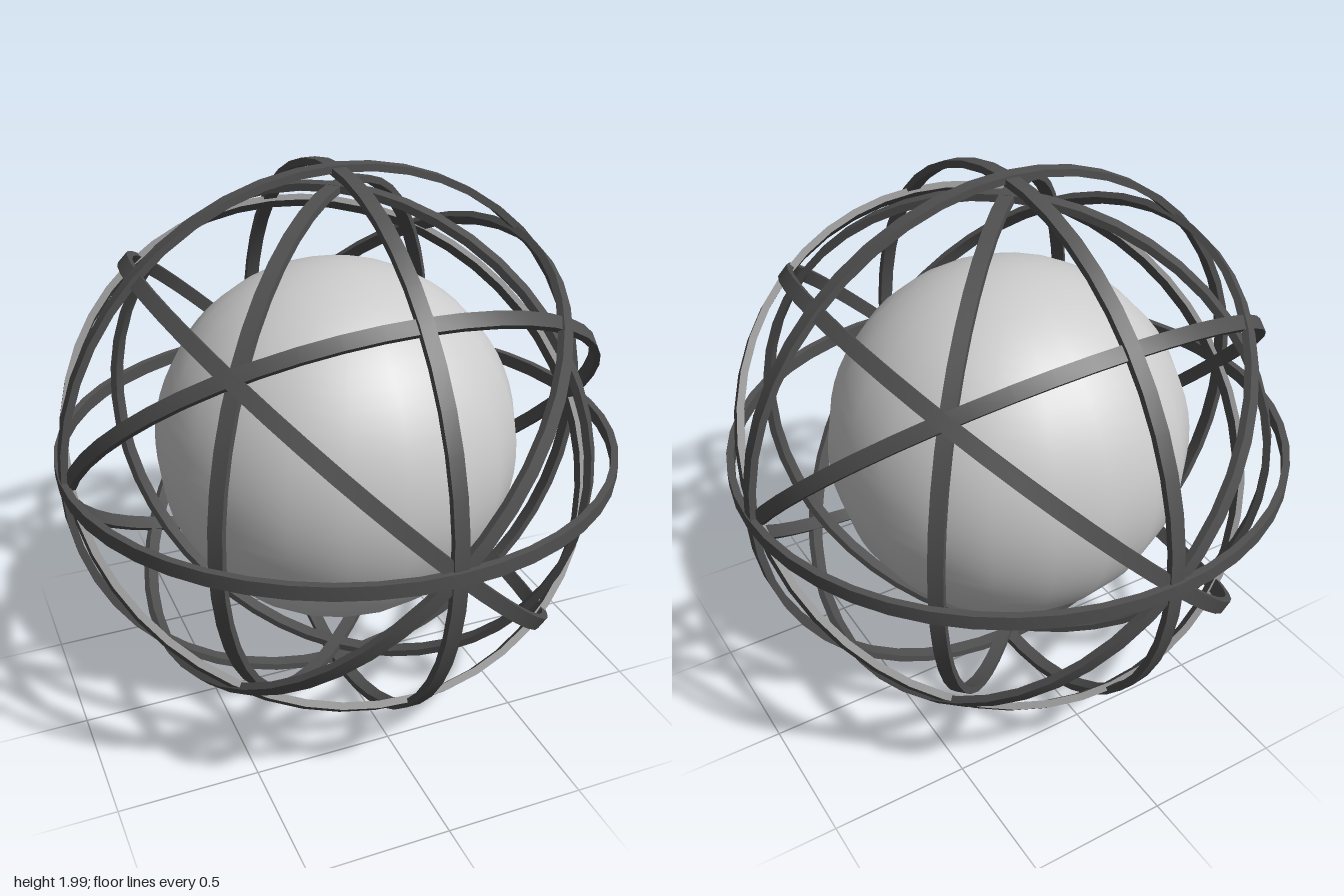
import * as THREE from 'three';
import { toCreasedNormals } from 'three/addons/utils/BufferGeometryUtils.js';

const BAND_WIDTH = 0.05;
const BAND_DEPTH = 0.025;

// Flat hoop around the y axis with a rectangular section
function hoopGeometry(radius) {
  const h = BAND_WIDTH / 2;
  const inner = radius - BAND_DEPTH;
  const profile = [[radius, -h], [radius, h], [inner, h], [inner, -h], [radius, -h]]
    .map(([x, y]) => new THREE.Vector2(x, y));
  return toCreasedNormals(new THREE.LatheGeometry(profile, 48), 0.6);
}

export function createModel() {
  const model = new THREE.Group();
  model.name = 'cagedSphere';

  const darkMetal = new THREE.MeshStandardMaterial({ color: 0x505050 });
  darkMetal.name = 'dark grey metal';
  const paleGrey = new THREE.MeshStandardMaterial({ color: 0xcccccc });
  paleGrey.name = 'pale grey';

  // Inner ball
  const core = new THREE.Mesh(new THREE.SphereGeometry(0.65, 20, 32), paleGrey);
  core.name = 'coreSphere';
  core.position.y = 1;
  model.add(core);

  // Nine hoops: name, radius, and the axis each one circles
  const hoops = [
    ['horizontalHoop', 1.0, [0, 1, 0]],
    ['frontalHoop', 0.997, [0, 0, 1]],
    ['sideHoop', 0.99, [1, 0, 0]],
    ['rollHoopLeft', 0.984, [1, 1, 0]],
    ['rollHoopRight', 0.984, [-1, 1, 0]],
    ['pitchHoopFront', 0.978, [0, 1, 1]],
    ['pitchHoopBack', 0.978, [0, 1, -1]],
    ['yawHoopLeft', 0.932, [1, 0, 1]],
    ['yawHoopRight', 0.932, [-1, 0, 1]],
  ];
  const up = new THREE.Vector3(0, 1, 0);
  for (const [name, radius, axis] of hoops) {
    const hoop = new THREE.Mesh(hoopGeometry(radius), darkMetal);
    hoop.name = name;
    hoop.position.y = 1;
    hoop.quaternion.setFromUnitVectors(up, new THREE.Vector3(...axis).normalize());
    model.add(hoop);
  }
  return model;
}
